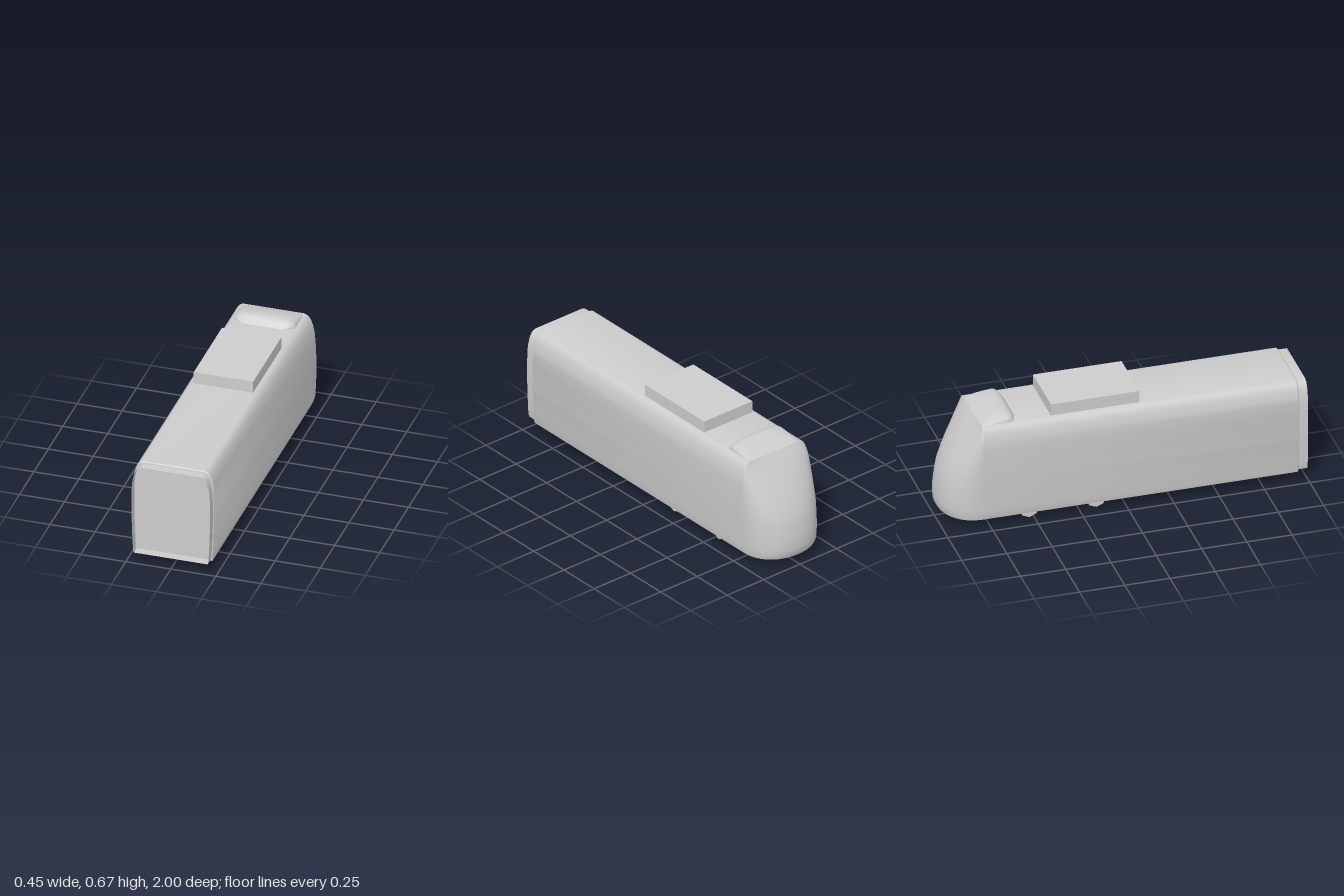
import * as THREE from 'three';
import { toCreasedNormals } from 'three/addons/utils/BufferGeometryUtils.js';

// Cross-section of the car: height, half width, and depth of the nose at that height
const PROFILE = [
  [0.055, 0.213, 0.195], [0.075, 0.218, 0.206], [0.11, 0.22, 0.21], [0.17, 0.223, 0.207],
  [0.23, 0.225, 0.198], [0.29, 0.227, 0.185], [0.35, 0.227, 0.16], [0.41, 0.227, 0.13],
  [0.48, 0.225, 0.085], [0.515, 0.221, 0.062], [0.542, 0.214, 0.043], [0.567, 0.206, 0.026],
  [0.586, 0.194, 0.01], [0.595, 0.183, 0.004], [0.6, 0.167, 0],
];
const NOSE_Z = -0.79;
const MID_Y = 0.33;

// Skin a list of equal-length point loops; optional flat caps on first and last loop
function loft(loops, { closed = true, capStart = false, capEnd = false, crease = 0.6 } = {}) {
  const n = loops[0].length;
  const pos = loops.flat(2);
  const index = [];
  for (let i = 0; i < loops.length - 1; i++) {
    for (let j = 0; j < (closed ? n : n - 1); j++) {
      const k = (j + 1) % n;
      const a = i * n + j, b = i * n + k, c = (i + 1) * n + k, d = (i + 1) * n + j;
      index.push(a, b, c, a, c, d);
    }
  }
  const cap = (row, flip) => {
    for (let j = 1; j < n - 1; j++) {
      const o = row * n;
      index.push(o, o + (flip ? j + 1 : j), o + (flip ? j : j + 1));
    }
  };
  if (capStart) cap(0, true);
  if (capEnd) cap(loops.length - 1, false);
  const g = new THREE.BufferGeometry();
  g.setAttribute('position', new THREE.Float32BufferAttribute(pos, 3));
  g.setIndex(index);
  return toCreasedNormals(g, crease);
}

// Body cross-section at z, scaled about its middle
function section(z, sx = 1, sy = sx) {
  const right = PROFILE.map(([y, w]) => [w * sx, MID_Y + (y - MID_Y) * sy, z]);
  const left = right.map(([x, y]) => [-x, y, z]).reverse();
  return [...right, ...left];
}

export function createModel() {
  const group = new THREE.Group();
  const grey = new THREE.MeshStandardMaterial({ color: 0xcccccc });
  grey.name = 'plain grey';
  grey.side = THREE.DoubleSide;

  const add = (name, geometry, x = 0, y = 0, z = 0) => {
    const mesh = new THREE.Mesh(geometry, grey);
    mesh.name = name;
    mesh.position.set(x, y, z);
    group.add(mesh);
    return mesh;
  };

  // Long body with a slightly bevelled rear end that closes the passage
  add('body', loft([section(NOSE_Z), section(0.943), section(0.95, 0.98)], { capEnd: true }));

  // Open passage collar around the end wall
  add('endCollar', loft([section(0.94, 0.96, 0.965), section(1, 0.96, 0.965)]));

  // Rounded nose from horizontal half-oval slices
  const STEPS = 28;
  const slices = PROFILE.map(([y, w, d]) => Array.from({ length: STEPS + 1 }, (_, i) => {
    const a = Math.PI * i / STEPS;
    const c = Math.cos(a);
    return [Math.sign(c) * w * Math.abs(c) ** 0.92, y, NOSE_Z - d * Math.abs(Math.sin(a)) ** 0.92];
  }));
  add('nose', loft(slices, { closed: false, capStart: true }));

  // Low fairing on the roof behind the nose: z, height, half width
  const stations = [
    [-0.79, 0.0, 0.165], [-0.76, 0.013, 0.168], [-0.72, 0.027, 0.17], [-0.68, 0.038, 0.17],
    [-0.645, 0.043, 0.17], [-0.622, 0.039, 0.168], [-0.607, 0.024, 0.145], [-0.59, 0, 0.11],
  ];
  const ribs = stations.map(([z, h, w]) => Array.from({ length: 17 }, (_, i) => {
    const a = Math.PI * i / 16;
    const c = Math.cos(a);
    return [Math.sign(c) * w * Math.abs(c) ** 0.6, 0.599 + h * Math.sin(a) ** 0.7, z];
  }));
  add('roofFairing', loft(ribs, { closed: false, crease: 1 }));

  // Equipment box on the roof
  add('roofBox', new THREE.BoxGeometry(0.33, 0.069, 0.49), 0, 0.6325, -0.16);

  // Small eight-sided wheels, mostly hidden in the floor
  for (const z of [-0.155, -0.525]) {
    for (const side of [-1, 1]) {
      const wheel = new THREE.CylinderGeometry(0.055, 0.055, 0.02, 8).rotateZ(Math.PI / 2);
      add(side > 0 ? 'leftWheel' : 'rightWheel', wheel, side * 0.157, 0.055, z);
    }
  }
  return group;
}
